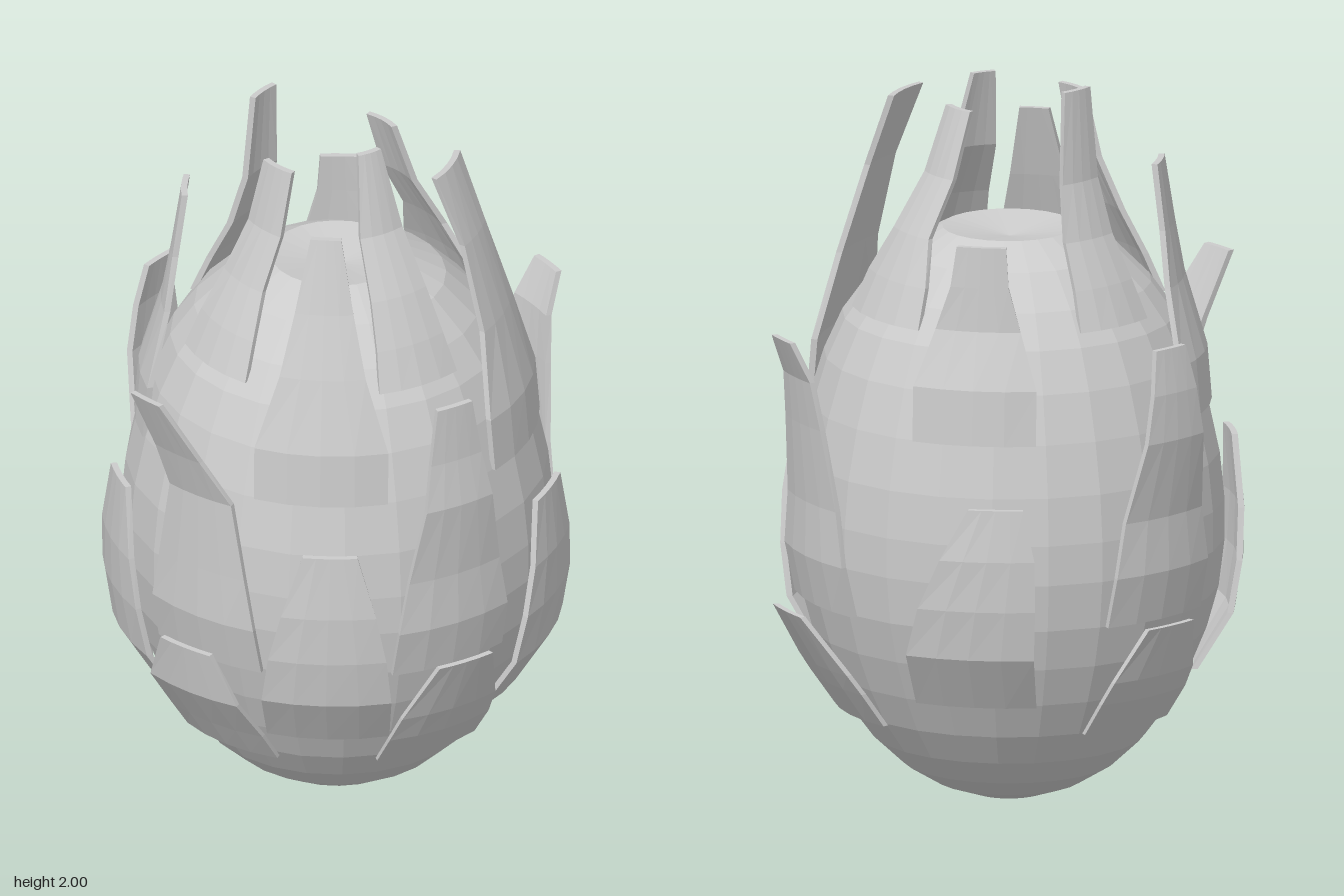
import * as THREE from 'three';

const DEG = Math.PI / 180;
const THICK = 0.017;
const COLS = 4;

// A curved scale wrapped round the y axis. rows: [height, outer radius, half width, angle shift in degrees]
function scaleGeometry(angle, rows) {
  const pos = [], idx = [], n = COLS + 1, layer = rows.length * n;
  for (const inset of [0, THICK]) {
    for (const [y, r, w, shift = 0] of rows) {
      for (let j = 0; j < n; j++) {
        const a = (angle + shift) * DEG + (w / r) * (2 * j / COLS - 1);
        pos.push((r - inset) * Math.sin(a), y, (r - inset) * Math.cos(a));
      }
    }
  }
  for (let i = 0; i < rows.length - 1; i++) {
    for (let j = 0; j < COLS; j++) {
      const a = i * n + j, b = a + 1, c = b + n, d = a + n;
      idx.push(a, b, c, a, c, d);
      idx.push(a + layer, c + layer, b + layer, a + layer, d + layer, c + layer);
    }
  }
  // rim joining outer and inner faces
  const rim = [], last = rows.length - 1;
  for (let j = 0; j < COLS; j++) rim.push(j);
  for (let i = 0; i < last; i++) rim.push(i * n + COLS);
  for (let j = COLS; j > 0; j--) rim.push(last * n + j);
  for (let i = last; i > 0; i--) rim.push(i * n);
  rim.forEach((p, k) => {
    const q = rim[(k + 1) % rim.length];
    idx.push(p, p + layer, q + layer, p, q + layer, q);
  });
  const g = new THREE.BufferGeometry();
  g.setAttribute('position', new THREE.Float32BufferAttribute(pos, 3));
  g.setIndex(idx);
  g.computeVertexNormals();
  return g;
}

export function createModel() {
  const group = new THREE.Group();
  group.name = 'scalyFruit';
  const fruit = new THREE.Group();
  fruit.name = 'fruit';
  fruit.position.set(0.02, 0, -0.015);
  group.add(fruit);
  const mat = new THREE.MeshStandardMaterial({ color: 0xcccccc, flatShading: true, side: THREE.DoubleSide });

  // egg-shaped body with a slightly sunken top
  const profile = [
    [0, 0], [0.1, 0.01], [0.2, 0.045], [0.29, 0.1], [0.37, 0.175], [0.437, 0.265], [0.49, 0.365],
    [0.535, 0.475], [0.567, 0.59], [0.583, 0.72], [0.583, 0.83], [0.57, 0.96], [0.54, 1.1],
    [0.5, 1.23], [0.45, 1.34], [0.385, 1.43], [0.295, 1.52], [0.18, 1.58], [0, 1.55],
  ].map(([x, y]) => new THREE.Vector2(x, y));
  const body = new THREE.Mesh(new THREE.LatheGeometry(profile, 24), mat);
  body.name = 'body';
  fruit.add(body);

  const addScale = (name, angle, rows) => {
    const mesh = new THREE.Mesh(scaleGeometry(angle, rows), mat);
    mesh.name = name;
    fruit.add(mesh);
  };

  // lowest, short flared scales: [angle, middle height, middle radius, tip height, tip radius]
  const low = [
    [0, 0.45, 0.585, 0.63, 0.66],
    [90, 0.42, 0.575, 0.58, 0.67],
    [199, 0.43, 0.575, 0.58, 0.63],
    [289, 0.5, 0.635, 0.65, 0.66],
  ];
  for (const [a, ym, rm, yt, rt] of low) {
    addScale('lowScale', a, [[0.27, 0.475, 0.158], [0.365, 0.54, 0.16], [ym, rm, 0.15], [yt, rt, 0.085]]);
  }

  // second tier of broad scales: [angle, tip height, tip half width, tip shift]
  for (const [a, top, w, shift] of [[-35, 0.98, 0.075, 1], [37, 0.98, 0.085, 0], [144, 0.94, 0.075, 7], [254, 0.99, 0.07, 0]]) {
    addScale('broadScale', a, [
      [0.365, 0.515, 0.168], [0.52, 0.61, 0.178], [0.66, 0.632, 0.162, shift * 0.3],
      [0.8, 0.635, 0.13, shift * 0.7], [top, 0.618, w, shift],
    ]);
  }

  // third tier of long tapering scales: radius at 1.1, 1.23 and tip, tip height, tip shift
  const long = [
    [0, 0.63, 0.61, 0.6, 1.39, 0],
    [91, 0.63, 0.645, 0.69, 1.34, 0],
    [199, 0.65, 0.645, 0.625, 1.35, 0],
    [290, 0.61, 0.65, 0.725, 1.41, -8],
  ];
  for (const [a, r1, r2, rt, yt, shift] of long) {
    addScale('longScale', a, [
      [0.59, 0.585, 0.177], [0.73, 0.615, 0.174], [0.88, 0.612, 0.145],
      [1.1, r1, 0.105], [1.23, r2, 0.08, shift / 2], [yt, rt, 0.055, shift],
    ]);
  }

  // fourth tier of upright leaves: [angle, base half width, shoulder, neck and tip heights, tip radius, tip half width, tip shift]
  const leaves = [
    [-37, 0.185, 1.45, 1.62, 1.82, 0.36, 0.042, 0],
    [39, 0.19, 1.48, 1.72, 1.92, 0.335, 0.088, -3],
    [144, 0.172, 1.4, 1.52, 1.63, 0.46, 0.068, 1],
    [235, 0.185, 1.45, 1.6, 1.78, 0.42, 0.06, 0],
  ];
  for (const [a, base, ys, yn, yt, rt, w, shift] of leaves) {
    addScale('upperLeaf', a, [
      [1.1, 0.547, base], [1.25, 0.535, base], [ys, 0.475, 0.118],
      [yn, (0.475 + rt) / 2, 0.08, shift / 2], [yt, rt, w, shift],
    ]);
  }

  // crown leaves closing over the top: [angle, base half width, tip height, tip radius, tip half width, tip shift]
  const crown = [
    [0, 0.125, 1.97, 0.17, 0.036, 0],
    [97, 0.17, 1.93, 0.18, 0.055, 4],
    [198, 0.125, 2, 0.26, 0.05, 3],
    [274, 0.14, 1.935, 0.23, 0.055, 8],
  ];
  for (const [a, base, yt, rt, w, shift] of crown) {
    addScale('crownLeaf', a, [
      [1.375, 0.43, base], [1.48, 0.385, base * 0.85], [1.6, 0.325, 0.088],
      [1.75, (0.3 + rt) / 2, 0.068, shift / 2], [yt, rt, w, shift],
    ]);
  }
  return group;
}
